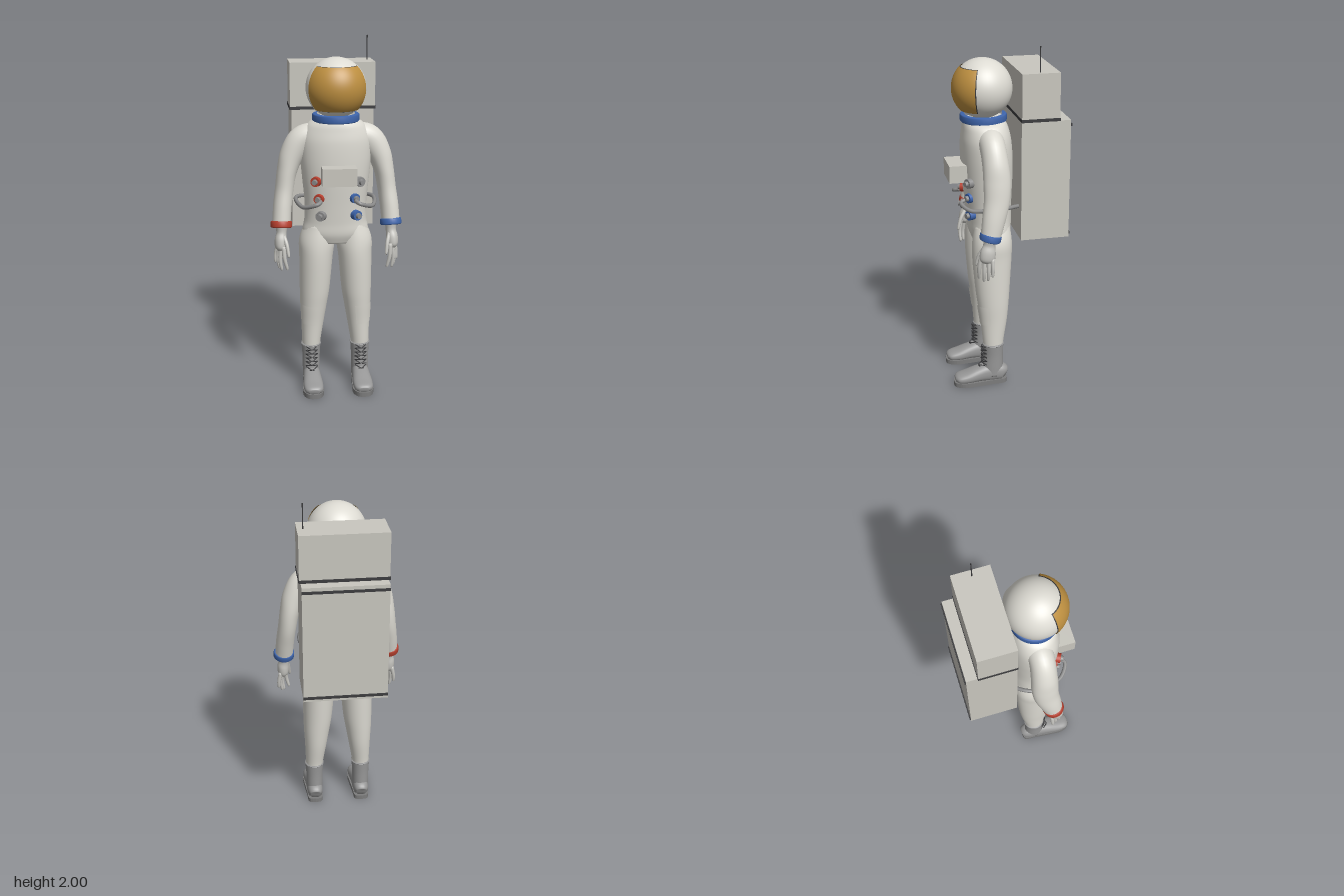
import * as THREE from 'three';

const mat = (name, color, side = THREE.FrontSide) => {
  const m = new THREE.MeshStandardMaterial({ color, side });
  m.name = name;
  return m;
};

export function createModel() {
  const M = {
    suit: mat('suit white', 0xdddbd3),
    pack: mat('pack grey', 0xc9c7bf),
    glove: mat('glove grey', 0xc6c5c0),
    boot: mat('boot grey', 0x979797),
    sole: mat('sole grey', 0x7c7c7c),
    red: mat('red', 0xb8402f),
    blue: mat('blue', 0x3f66ad),
    gold: mat('visor gold', 0xbd8f40, THREE.DoubleSide),
    dark: mat('dark trim', 0x3c3c3e, THREE.DoubleSide),
    metal: mat('metal grey', 0x8c8c8c),
  };
  const root = new THREE.Group();
  root.name = 'astronaut';
  const add = (name, geo, material, pos = [0, 0, 0], parent = root) => {
    const mesh = new THREE.Mesh(geo, material);
    mesh.name = name;
    mesh.position.set(...pos);
    parent.add(mesh);
    return mesh;
  };
  const group = (name, parent = root) => {
    const g = new THREE.Group();
    g.name = name;
    parent.add(g);
    return g;
  };
  const box = (name, [x0, x1], [y0, y1], [z0, z1], material, parent) =>
    add(name, new THREE.BoxGeometry(x1 - x0, y1 - y0, z1 - z0), material,
      [(x0 + x1) / 2, (y0 + y1) / 2, (z0 + z1) / 2], parent);

  // Smooth loft through sections [x, y, z, ru, rw]; a partial range gives a patch
  const Y = new THREE.Vector3(0, 1, 0), Z = new THREE.Vector3(0, 0, 1);
  function loft(sections, { n = 28, rows = 36, ref = Z, pow = 1, t = [0, 1], a = null, grow = 0 } = {}) {
    const path = new THREE.CatmullRomCurve3(sections.map(s => new THREE.Vector3(s[0], s[1], s[2])));
    const radii = new THREE.CatmullRomCurve3(sections.map(s => new THREE.Vector3(s[3], s[4], 0)));
    path.curveType = radii.curveType = 'catmullrom';
    const [a0, a1] = a || [0, Math.PI * 2];
    const bend = v => Math.sign(v) * Math.abs(v) ** pow;
    const pos = [], idx = [];
    for (let i = 0; i <= rows; i++) {
      const k = t[0] + (t[1] - t[0]) * i / rows;
      const c = path.getPoint(k), r = radii.getPoint(k), tan = path.getTangent(k);
      const u = new THREE.Vector3().crossVectors(ref, tan).normalize();
      const w = new THREE.Vector3().crossVectors(tan, u);
      const m = a ? n + 1 : n;
      for (let j = 0; j < m; j++) {
        const q = a0 + (a1 - a0) * j / n;
        const p = c.clone().addScaledVector(u, bend(Math.cos(q)) * (r.x + grow))
          .addScaledVector(w, bend(Math.sin(q)) * (r.y + grow));
        pos.push(p.x, p.y, p.z);
      }
      if (i < rows) for (let j = 0; j < n; j++) {
        const j1 = a ? j + 1 : (j + 1) % n, A = i * m + j, B = i * m + j1;
        idx.push(A, B, A + m, B, B + m, A + m);
      }
    }
    if (!a) [0, rows].forEach(i => {
      // End caps
      const c = path.getPoint(i ? t[1] : t[0]), id = pos.length / 3;
      pos.push(c.x, c.y, c.z);
      for (let j = 0; j < n; j++) {
        const A = i * n + j, B = i * n + (j + 1) % n;
        idx.push(...(i ? [id, A, B] : [id, B, A]));
      }
    });
    const g = new THREE.BufferGeometry();
    g.setAttribute('position', new THREE.Float32BufferAttribute(pos, 3));
    g.setIndex(idx);
    g.computeVertexNormals();
    return g;
  }
  const tube = (pts, r, seg = 24, sides = 8) => new THREE.TubeGeometry(
    new THREE.CatmullRomCurve3(pts.map(p => new THREE.Vector3(...p))), seg, r, sides);
  const ring = (r, h) => new THREE.LatheGeometry(
    [[r - .025, -h / 2], [r - .005, -h / 2], [r, -h / 2 + .006], [r, h / 2 - .006], [r - .005, h / 2], [r - .025, h / 2]]
      .map(p => new THREE.Vector2(...p)), 36);

  // Torso
  add('torso', loft([
    [0, 1.575, .11, .112, .11], [0, 1.54, .108, .16, .122], [0, 1.47, .102, .193, .137],
    [0, 1.37, .098, .198, .143], [0, 1.25, .095, .188, .141], [0, 1.1, .09, .174, .13],
    [0, 1.0, .086, .176, .124], [0, .93, .086, .186, .119], [0, .875, .086, .15, .1],
  ], { n: 40, rows: 48, pow: .92 }), M.suit);

  // Helmet, visor and neck ring
  const head = [0, 1.743, .117];
  const patch = (r, e) => new THREE.SphereGeometry(r, 36, 24, Math.PI / 2 - 1.15 - e, 2.3 + 2 * e, .79 - e, 1.53 + 2 * e);
  add('helmet', new THREE.SphereGeometry(.166, 48, 32), M.suit, head);
  add('visorFrame', patch(.168, .03), M.dark, head);
  add('visor', patch(.171, 0), M.gold, head);
  add('neckRing', ring(.13, .042), M.blue, [0, 1.581, .112]);

  // Backpack
  const pack = group('backpack');
  box('lowerPack', [-.233, .233], [.92, 1.597], [-.324, -.05], M.pack, pack);
  box('upperPack', [-.241, .241], [1.614, 1.86], [-.26, -.05], M.pack, pack);
  box('packSeam', [-.244, .244], [1.597, 1.614], [-.263, -.048], M.dark, pack);
  for (const y of [.943, 1.57]) box('packStrip', [-.233, .233], [y - .007, y + .007], [-.331, -.324], M.dark, pack);
  add('antenna', new THREE.CylinderGeometry(.003, .003, .14, 8), M.dark, [.208, 1.93, -.155], pack);

  // Chest unit and hose connectors
  box('chestUnit', [-.094, .094], [1.235, 1.333], [.19, .323], M.pack);
  const connectors = [
    [-.115, 1.243, M.red], [.115, 1.238, M.metal], [-.098, 1.143, M.red],
    [.088, 1.143, M.blue], [-.088, 1.045, M.metal], [.1, 1.045, M.blue],
  ];
  for (const [x, y, m] of connectors) {
    const g = group('hoseConnector');
    g.position.set(x, y, y > 1.2 ? .207 : .2);
    g.rotation.set(0, Math.sign(x) * .45, 0);
    add('connectorBody', new THREE.CylinderGeometry(.027, .029, .044, 20), m, [0, 0, .006], g).rotation.x = Math.PI / 2;
    add('connectorHub', new THREE.CylinderGeometry(.014, .017, .02, 12), M.metal, [0, 0, .034], g).rotation.x = Math.PI / 2;
  }

  for (const s of [1, -1]) {
    const side = s > 0 ? 'left' : 'right';
    const mir = rows => rows.map(([x, ...r]) => [s * x, ...r]);

    // Hose from chest to backpack
    add(side + 'Hose', tube(mir([[.095, 1.135, .24], [.115, 1.125, .265], [.185, 1.1, .222], [.215, 1.105, .14],
      [.22, 1.11, .04], [.205, 1.11, 0], [.16, 1.1, -.06]]), .0115, 36), M.metal);

    // Arm and wrist ring
    add(side + 'Arm', loft(mir([
      [.1, 1.485, .1, .07, .075], [.185, 1.455, .1, .078, .07], [.242, 1.375, .096, .068, .072],
      [.272, 1.28, .094, .056, .075], [.288, 1.18, .1, .052, .071], [.301, 1.08, .12, .052, .064],
      [.309, .98, .14, .051, .055],
    ])), M.suit);
    add(side + 'WristRing', ring(.06, .038), s > 0 ? M.blue : M.red, [s * .309, .985, .14]).rotation.set(-.25, 0, s * .04);

    // Gloved hand with four fingers and a thumb
    const hand = group(side + 'Hand');
    add('palm', loft(mir([[.309, .985, .14, .035, .04], [.309, .94, .147, .029, .034],
      [.314, .9, .155, .034, .043], [.315, .86, .16, .032, .043], [.314, .84, .163, .018, .03]]), { n: 18, rows: 20 }), M.glove, [0, 0, 0], hand);
    const fingers = [
      [[.3, .87, .192], [.296, .8, .202], [.282, .742, .2]],
      [[.313, .86, .172], [.32, .79, .178], [.312, .735, .178]],
      [[.322, .86, .152], [.33, .79, .155], [.324, .742, .157]],
      [[.33, .865, .133], [.342, .81, .133], [.344, .77, .136]],
      [[.3, .93, .165], [.283, .88, .196], [.274, .82, .214]],
    ];
    fingers.forEach(([a, b, c], i) => add(i < 4 ? 'finger' : 'thumb', loft(mir([
      [...a, .013, .013], [...b, .011, .011], [...c, .008, .008], [c[0], c[1] - .006, c[2], .002, .002],
    ]), { n: 10, rows: 12 }), M.glove, [0, 0, 0], hand));

    // Leg with a pocket patch on the front outer shin
    const leg = mir([
      [.095, .98, .086, .07, .1], [.106, .88, .088, .1, .113], [.112, .78, .091, .095, .113],
      [.12, .6, .09, .086, .1], [.127, .5, .088, .077, .09], [.133, .4, .087, .066, .078],
      [.141, .28, .092, .054, .062], [.143, .22, .092, .05, .056],
    ]);
    add(side + 'Leg', loft(leg), M.suit);
    const arc = [.4, 1.85];
    add(side + 'LegPocket', loft(leg, {
      n: 12, rows: 8, t: [.572, .74], grow: .005, a: s > 0 ? arc : arc.map(q => Math.PI - q).reverse(),
    }), M.suit);

    // Boot
    const boot = group(side + 'Boot'), X = s * .143;
    add('bootShaft', loft([[X, .255, .092, .056, .061], [X, .18, .092, .051, .057],
      [X, .11, .095, .05, .06], [X, .05, .098, .049, .064]], { rows: 20 }), M.boot, [0, 0, 0], boot);
    add('bootCuff', ring(.058, .012), M.boot, [X, .249, .092], boot).scale.z = 1.08;
    add('bootFoot', loft([[X, .05, .022, .03, .03], [X, .06, .045, .045, .05], [X, .065, .12, .049, .055],
      [X, .06, .18, .053, .046], [X, .047, .25, .057, .035], [X, .042, .3, .05, .025], [X, .038, .32, .028, .014]],
    { ref: Y, rows: 28, pow: .85 }), M.boot, [0, 0, 0], boot);
    const outline = new THREE.Shape(new THREE.SplineCurve([[0, .015], [.04, .028], [.047, .1], [.056, .2], [.058, .27], [.035, .318],
      [0, .328], [-.035, .318], [-.058, .27], [-.056, .2], [-.047, .1], [-.04, .028], [0, .015]]
      .map(p => new THREE.Vector2(p[0], -p[1]))).getPoints(48));
    add('bootSole', new THREE.ExtrudeGeometry(outline, { depth: .026, bevelEnabled: false })
      .rotateX(-Math.PI / 2), M.sole, [X, 0, 0], boot);

    // Crossed laces
    for (let i = 0; i < 6; i++) {
      const y = .1 + i * .024, z = .14 + (i === 0 ? .015 : 0);
      for (const d of [-1, 1]) add('lace', tube([[X - d * .034, y, z - .005], [X, y + .012, z + .025],
        [X + d * .034, y + .024, z - .005]], .003, 8, 5), M.dark, [0, 0, 0], boot);
    }
  }
  return root;
}
